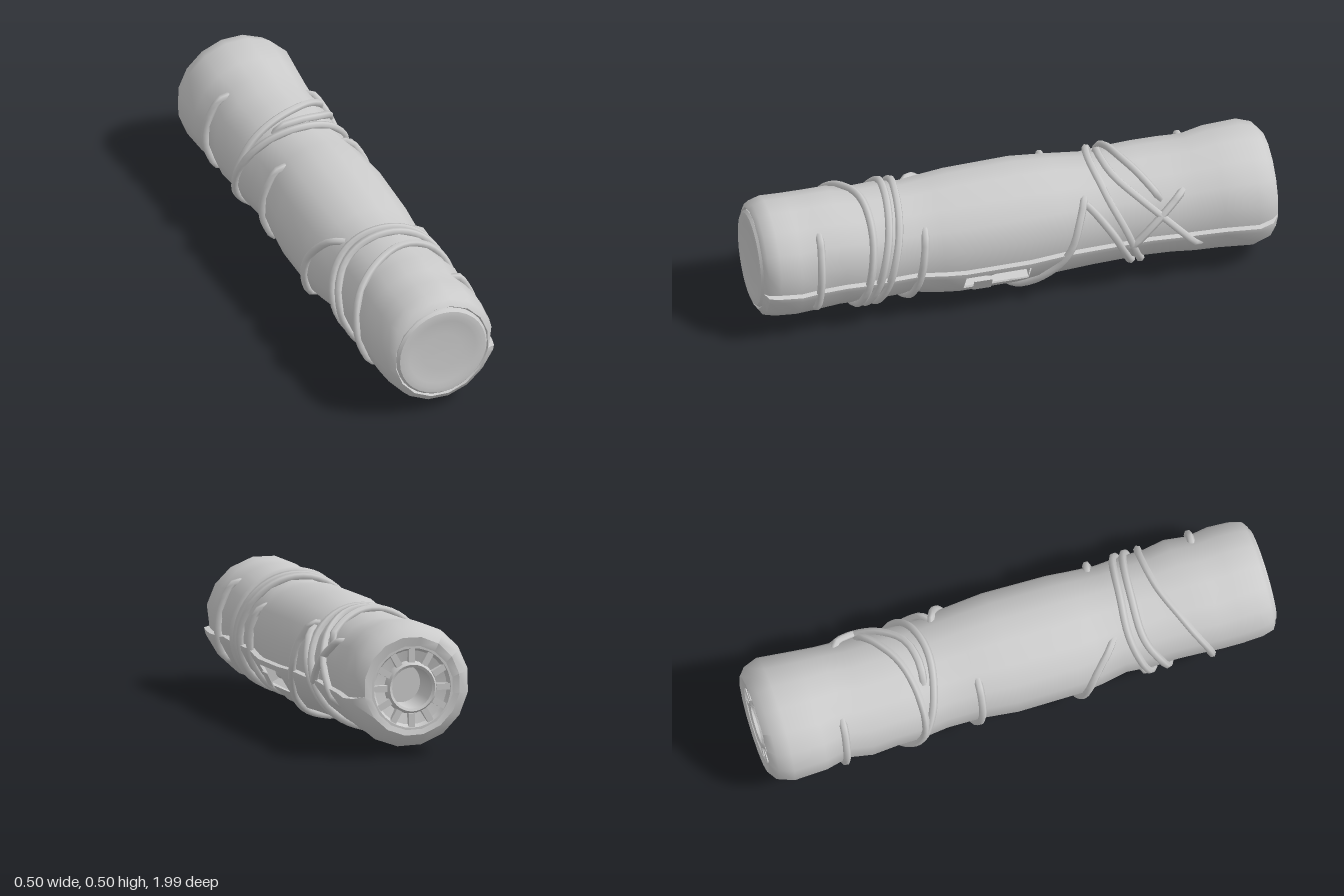
import * as THREE from 'three';
import { toCreasedNormals } from 'three/addons/utils/BufferGeometryUtils.js';

const material = new THREE.MeshStandardMaterial({ color: 0xcccccc, side: THREE.DoubleSide });
const insideMaterial = new THREE.MeshStandardMaterial({ color: 0xcccccc, side: THREE.BackSide });
const CENTRE_Y = 0.25;
const rad = THREE.MathUtils.degToRad;

// Wrap cross-sections: z, left x, right x, bottom y, top y
const sections = [
  [0.97, -0.175, 0.175, 0.07, 0.43],
  [0.99, -0.19, 0.19, 0.055, 0.445],
  [0.975, -0.213, 0.213, 0.033, 0.467],
  [0.93, -0.225, 0.224, 0.022, 0.48],
  [0.85, -0.227, 0.23, 0.018, 0.477],
  [0.77, -0.225, 0.218, 0.018, 0.476],
  [0.68, -0.222, 0.228, 0.035, 0.48],
  [0.6, -0.214, 0.218, 0.03, 0.464],
  [0.5, -0.216, 0.217, 0.03, 0.468],
  [0.4, -0.206, 0.212, 0.035, 0.459],
  [0.3, -0.222, 0.222, 0.015, 0.468],
  [0.22, -0.232, 0.23, 0.007, 0.475],
  [-0.03, -0.234, 0.234, 0.012, 0.484],
  [-0.17, -0.218, 0.222, 0.026, 0.476],
  [-0.3, -0.214, 0.212, 0.032, 0.459],
  [-0.4, -0.226, 0.212, 0.034, 0.462],
  [-0.5, -0.228, 0.215, 0.038, 0.467],
  [-0.6, -0.234, 0.217, 0.034, 0.464],
  [-0.69, -0.216, 0.22, 0.028, 0.472],
  [-0.78, -0.238, 0.228, 0.024, 0.484],
  [-0.91, -0.243, 0.242, 0.018, 0.492],
  [-0.965, -0.222, 0.222, 0.035, 0.475],
  [-0.992, -0.185, 0.19, 0.07, 0.445],
  [-0.985, -0.16, 0.16, 0.09, 0.41],
  [-0.95, -0.158, 0.158, 0.092, 0.408],
];

function ellipsePoint([z, l, r, b, t], degrees, offset = 0) {
  const a = rad(degrees);
  return new THREE.Vector3(
    (l + r) / 2 + ((r - l) / 2 + offset) * Math.cos(a),
    (b + t) / 2 + ((t - b) / 2 + offset) * Math.sin(a), z);
}

// Point on the wrap at any angle (0 = left side, 90 = top) and any z
function surfacePoint(degrees, z, offset) {
  let i = 3;
  while (i < 19 && sections[i + 1][0] > z) i++;
  const a = sections[i], b = sections[i + 1];
  const k = (a[0] - z) / (a[0] - b[0]);
  return ellipsePoint(a.map((v, n) => v + (b[n] - v) * k), degrees, offset);
}

function add(parent, name, geometry, mat = material) {
  const mesh = new THREE.Mesh(geometry, mat);
  mesh.name = name;
  parent.add(mesh);
  return mesh;
}

// Cloth wrapped once round, its edges overlapping along a lengthwise seam
function wrapGeometry() {
  const angles = [];
  for (let j = 0; j <= 15; j++) angles.push(-10 + j * 22.2);
  angles.push(345, 350);
  const n = angles.length, positions = [], index = [];
  sections.forEach((s, i) => {
    const seam = i > 1 && i < sections.length - 3 ? 1 : 0;
    angles.forEach((deg, j) => {
      const lift = seam * (j === 0 ? -0.012 : j >= n - 2 ? 0.009 : 0);
      positions.push(...ellipsePoint(s, deg, lift).toArray());
    });
  });
  for (let i = 0; i < sections.length - 1; i++) {
    for (let j = 0; j < n; j++) {
      if (sections[i][0] === 0.22 && j === 15) continue; // pocket opening
      const a = i * n + j, b = i * n + (j + 1) % n;
      index.push(a, a + n, b, b, a + n, b + n);
    }
  }
  const g = new THREE.BufferGeometry();
  g.setAttribute('position', new THREE.Float32BufferAttribute(positions, 3));
  g.setIndex(index);
  return toCreasedNormals(g, 0.9);
}

// Cord lying on the wrap; its ends dive into the cloth
function cordGeometry(path) {
  const guide = new THREE.CatmullRomCurve3(path.map(([a, z]) => new THREE.Vector3(a / 100, z, 0)));
  const turn = Math.abs(path[path.length - 1][0] - path[0][0]);
  const count = Math.max(8, Math.round(turn / 15));
  const points = guide.getPoints(count).map((p, i) =>
    surfacePoint(p.x * 100, p.y, i === 0 || i === count ? -0.025 : 0.006));
  return new THREE.TubeGeometry(new THREE.CatmullRomCurve3(points), count * 2, 0.015, 6);
}

// Cord paths: angle in degrees, z
const cords = {
  frontBinding: [[235, 0.74], [180, 0.72], [135, 0.65], [90, 0.58], [45, 0.565], [0, 0.585], [-60, 0.62],
    [-90, 0.62], [-180, 0.54], [-225, 0.48], [-270, 0.48], [-315, 0.5], [-360, 0.54], [-420, 0.59],
    [-450, 0.58], [-540, 0.47], [-590, 0.43], [-630, 0.44], [-675, 0.46], [-720, 0.5], [-780, 0.55],
    [-810, 0.54], [-900, 0.45]],
  frontShortCord: [[52, 0.765], [10, 0.775], [-44, 0.79]],
  frontInnerCord: [[45, 0.36], [0, 0.385], [-55, 0.42], [-90, 0.44], [-150, 0.45]],
  frontSlantedCord: [[125, 0.39], [160, 0.28], [195, 0.23], [230, 0.2]],
  backBinding: [[48, -0.24], [0, -0.36], [-65, -0.45], [-120, -0.47], [-180, -0.4], [-225, -0.34],
    [-270, -0.31], [-315, -0.34], [-360, -0.41], [-425, -0.485], [-480, -0.5], [-540, -0.4],
    [-590, -0.39], [-630, -0.42], [-660, -0.48], [-690, -0.55]],
  backSlantedCord: [[-110, 0.05], [-65, 0], [-12, -0.17], [25, -0.225], [50, -0.26]],
  crossingCordLower: [[120, -0.36], [90, -0.355], [60, -0.39], [0, -0.6], [-32, -0.71]],
  crossingCordUpper: [[42, -0.64], [15, -0.53], [-22, -0.39]],
  backShortCord: [[125, -0.69], [180, -0.7], [230, -0.7]],
  backInnerCord: [[125, -0.16], [180, -0.17], [235, -0.2]],
};

function lathe(profile, segments) {
  const g = new THREE.LatheGeometry(profile.map(p => new THREE.Vector2(...p)), segments);
  g.rotateX(Math.PI / 2).translate(0, CENTRE_Y, 0);
  return toCreasedNormals(g, 0.6);
}

export function createModel() {
  const model = new THREE.Group();
  model.name = 'wrappedHandle';

  add(model, 'clothWrap', wrapGeometry());

  const binding = new THREE.Group();
  binding.name = 'cordBindings';
  model.add(binding);
  for (const [name, path] of Object.entries(cords)) add(binding, name, cordGeometry(path));

  // Shallow dished cap at the front
  add(model, 'frontCap', lathe([[0.186, 0.95], [0.184, 0.988], [0.175, 0.998], [0.155, 1],
    [0.135, 0.996], [0.08, 0.993], [0.001, 0.992]], 32));

  // Recessed socket with a central bore and radial ribs at the back
  const socket = new THREE.Group();
  socket.name = 'backSocket';
  model.add(socket);
  add(socket, 'socketPlate', lathe([[0.162, -0.985], [0.15, -0.985], [0.14, -0.965], [0.1, -0.955],
    [0.095, -0.98], [0.088, -0.988], [0.078, -0.982], [0.074, -0.84], [0.001, -0.84]], 32));
  for (let i = 0; i < 12; i++) {
    const a = (i / 12) * Math.PI * 2;
    const rib = add(socket, 'socketRib', new THREE.BoxGeometry(0.052, 0.024, 0.03));
    rib.position.set(0.122 * Math.cos(a), CENTRE_Y + 0.122 * Math.sin(a), -0.967);
    rib.rotation.z = a;
  }

  // Side pocket with a button and a loose tongue
  const pocket = new THREE.Group();
  pocket.name = 'sidePocket';
  pocket.position.set(0, CENTRE_Y, 0.095);
  pocket.rotation.z = rad(-26);
  model.add(pocket);
  add(pocket, 'pocketLining', new THREE.BoxGeometry(0.055, 0.092, 0.25), insideMaterial).position.x = 0.198;
  const button = add(pocket, 'pocketButton', new THREE.SphereGeometry(0.03, 12, 8));
  button.position.set(0.19, 0, 0.02);
  const tongue = add(pocket, 'pocketTongue', new THREE.BoxGeometry(0.004, 0.06, 0.07));
  tongue.position.set(0.247, -0.012, 0.06);

  return model;
}
